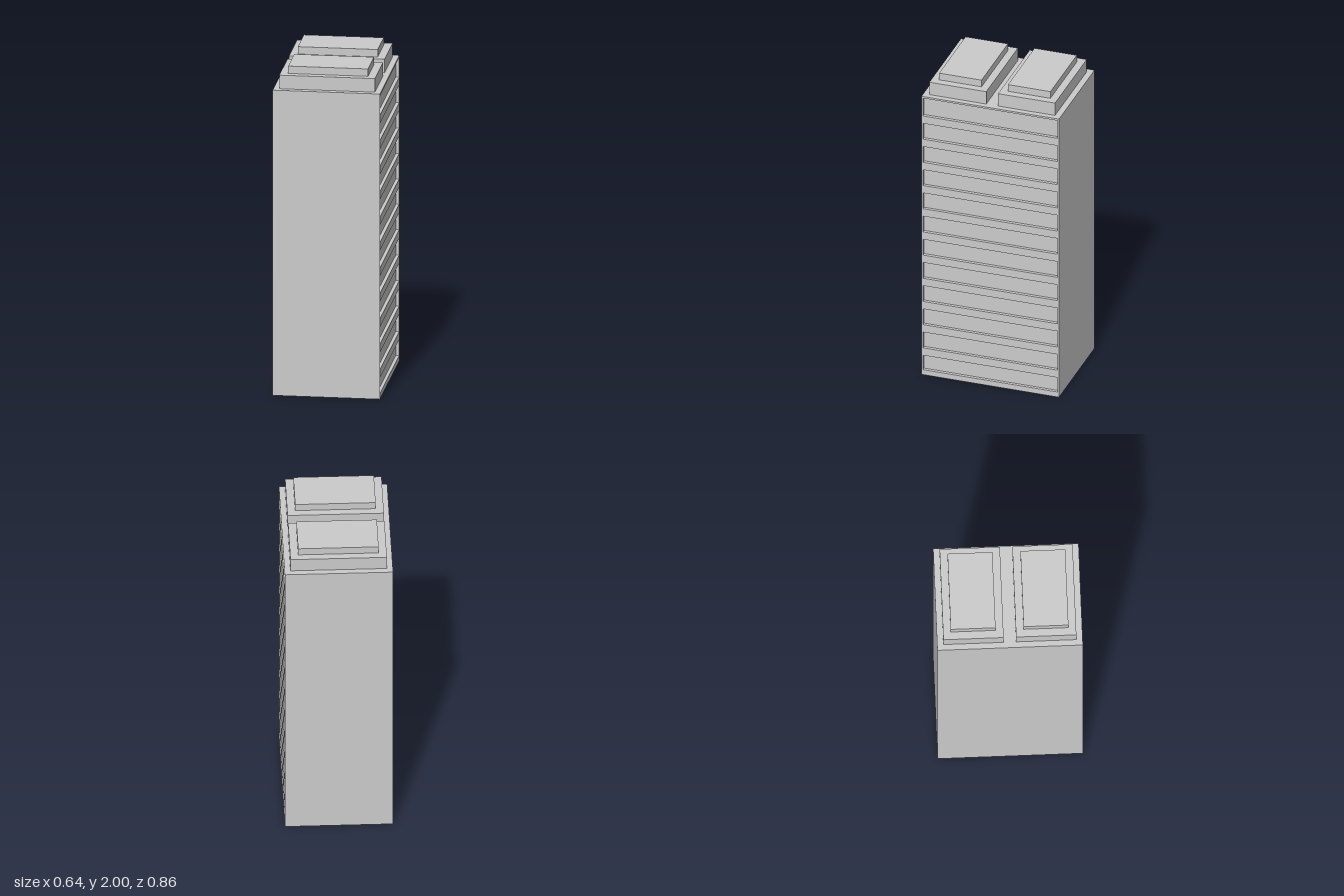
import * as THREE from 'three';

const W = 0.64, D = 0.86, H = 1.872; // tower block
const FLOORS = 12, RECESS = 0.02;

export function createModel() {
  const model = new THREE.Group();
  model.name = 'towerBlock';
  const material = new THREE.MeshStandardMaterial({ color: 0xcccccc, flatShading: true });

  const add = (name, geometry, x = 0, y = 0, z = 0) => {
    const mesh = new THREE.Mesh(geometry, material);
    mesh.name = name;
    mesh.position.set(x, y, z);
    model.add(mesh);
  };

  const rectangle = (path, halfWidth, bottom, top) => {
    path.moveTo(-halfWidth, bottom);
    path.lineTo(halfWidth, bottom);
    path.lineTo(halfWidth, top);
    path.lineTo(-halfWidth, top);
    path.closePath();
    return path;
  };

  // Plain tower core
  add('towerCore', new THREE.BoxGeometry(W - RECESS, H, D), -RECESS / 2, H / 2, 0);

  // Facade panel on the +x side with one long recess per floor
  const facade = rectangle(new THREE.Shape(), D / 2, 0, H);
  const floorHeight = H / FLOORS, slab = 0.025;
  for (let i = 0; i < FLOORS; i++) {
    const bottom = i === 0 ? 0.034 : i * floorHeight + slab;
    const top = i === FLOORS - 1 ? H - 0.012 : (i + 1) * floorHeight - slab;
    facade.holes.push(rectangle(new THREE.Path(), D / 2 - 0.01, bottom, top));
  }
  const panel = new THREE.ExtrudeGeometry(facade, { depth: RECESS, bevelEnabled: false });
  panel.rotateY(Math.PI / 2);
  add('recessedFacade', panel, W / 2 - RECESS, 0, 0);

  // Two stepped roof blocks, mirrored front and back
  for (const [side, label] of [[1, 'front'], [-1, 'back']]) {
    add(`${label}RoofBase`, new THREE.BoxGeometry(0.57, 0.083, 0.356), 0, H + 0.0415, side * 0.215);
    add(`${label}RoofCap`, new THREE.BoxGeometry(0.476, 0.045, 0.265), 0, 1.9775, side * 0.2155);
  }
  return model;
}
